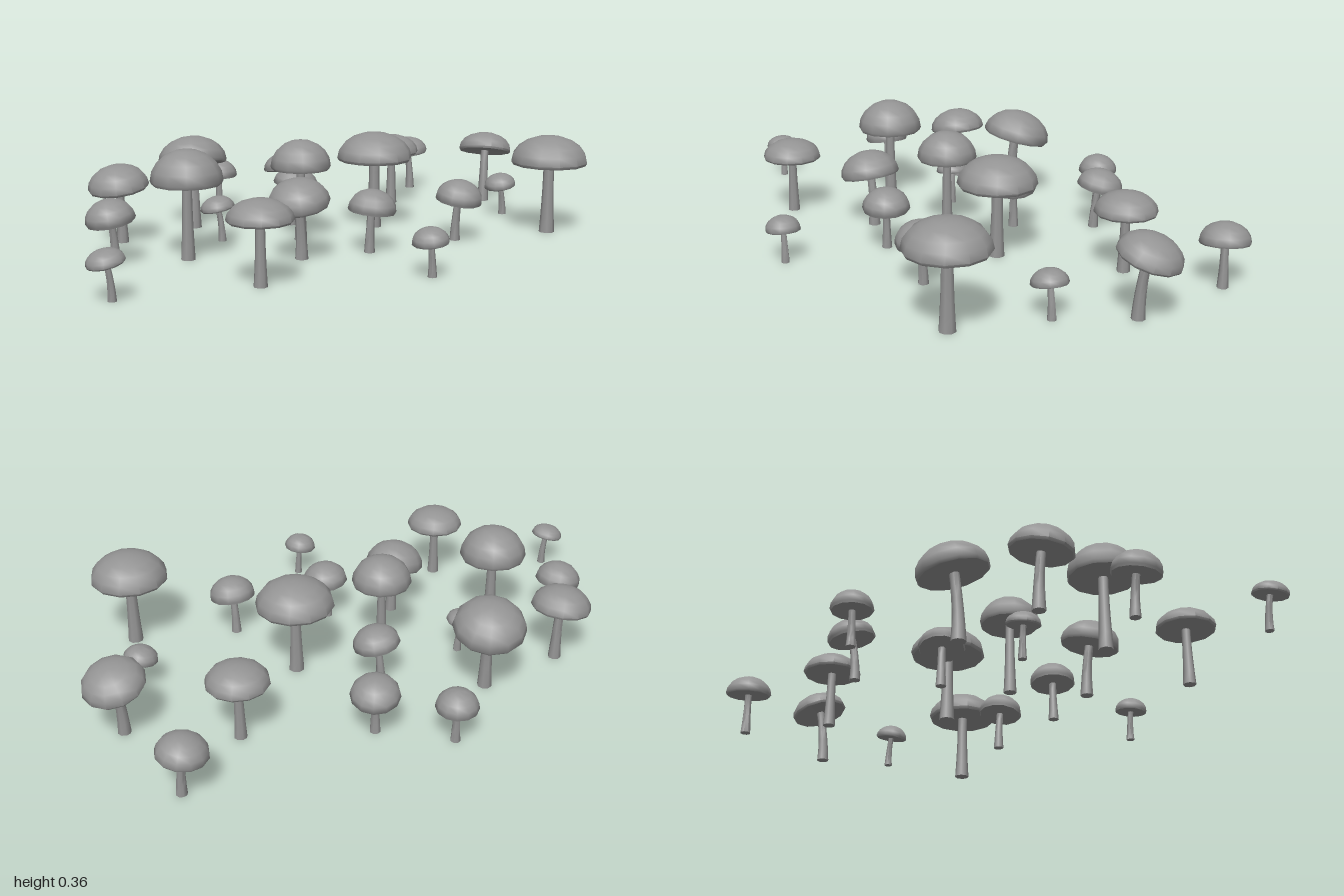
import * as THREE from 'three';
import { toCreasedNormals } from 'three/addons/utils/BufferGeometryUtils.js';

const material = new THREE.MeshStandardMaterial({ color: 0x949494 });

// Each mushroom: cap x, cap z, cap radius, top height, rim height, lean toward +x, lean toward +z
const MUSHROOMS = [
  [-0.14, -0.90, 0.102, 0.265, 0.19, -0.2, -0.25],
  [-0.497, -0.80, 0.081, 0.21, 0.14, -0.08, 0.12],
  [0.102, -0.747, 0.058, 0.155, 0.105, 0.0, 0.2],
  [0.402, -0.687, 0.132, 0.34, 0.24, 0.0, 0.0],
  [-0.30, -0.557, 0.102, 0.267, 0.195, 0.0, 0.0],
  [0.318, -0.35, 0.08, 0.21, 0.135, 0.15, -0.05],
  [-0.015, -0.247, 0.132, 0.34, 0.24, 0.0, 0.0],
  [-0.472, -0.175, 0.08, 0.21, 0.14, -0.2, -0.1],
  [-0.2, -0.04, 0.08, 0.21, 0.14, 0.12, -0.15],
  [-0.608, 0.037, 0.069, 0.187, 0.12, -0.03, 0.0],
  [0.273, -0.013, 0.08, 0.21, 0.135, 0.05, -0.08],
  [0.617, 0.037, 0.058, 0.157, 0.105, 0.0, 0.12],
  [-0.003, 0.078, 0.102, 0.345, 0.245, 0.0, 0.0],
  [-0.402, 0.268, 0.121, 0.325, 0.225, -0.25, -0.08],
  [-0.152, 0.318, 0.058, 0.155, 0.11, -0.08, 0.18],
  [0.217, 0.242, 0.102, 0.265, 0.175, 0.08, 0.2],
  [0.004, 0.52, 0.116, 0.357, 0.245, 0.0, 0.0],
  [-0.323, 0.598, 0.102, 0.267, 0.185, 0.05, 0.15],
  [0.402, 0.504, 0.102, 0.265, 0.195, 0.0, 0.0],
  [-0.085, 0.747, 0.08, 0.21, 0.135, 0.0, 0.18],
  [0.282, 0.942, 0.058, 0.155, 0.112, 0.0, 0.22],
];

// Domed cap with a slightly tucked rim and a shallow hollow underneath
function makeCap(radius, height) {
  const points = [
    new THREE.Vector2(0, radius * 0.03),
    new THREE.Vector2(radius * 0.95, 0),
  ];
  const steps = 5;
  for (let i = 0; i <= steps; i++) {
    const a = (i / steps) * Math.PI / 2;
    const r = i === steps ? 0 : radius * Math.cos(a);
    points.push(new THREE.Vector2(r, height * (0.1 + 0.9 * Math.sin(a))));
  }
  const geometry = toCreasedNormals(new THREE.LatheGeometry(points, 12), 0.9);
  const cap = new THREE.Mesh(geometry, material);
  cap.name = 'cap';
  return cap;
}

// Tapered stem with a flared foot that bends from the ground to the cap
function makeStem(radius, height, bendX, bendZ) {
  const geometry = new THREE.CylinderGeometry(radius, radius, height, 8, 5);
  geometry.translate(0, height / 2, 0);
  const p = geometry.attributes.position;
  for (let i = 0; i < p.count; i++) {
    const t = p.getY(i) / height;
    const taper = 0.8 + 0.38 * (1 - t) ** 2;
    const bend = t * t - 1;
    p.setXYZ(i, p.getX(i) * taper + bendX * bend, p.getY(i), p.getZ(i) * taper + bendZ * bend);
  }
  const stem = new THREE.Mesh(toCreasedNormals(geometry, 0.9), material);
  stem.name = 'stem';
  return stem;
}

function makeMushroom([x, z, radius, top, rim, leanX, leanZ]) {
  const mushroom = new THREE.Group();
  mushroom.name = 'mushroom';
  const height = top - rim;

  // Keep the middle of the dome over the given spot while it leans
  const capX = x - leanX * height * 0.3;
  const capZ = z - leanZ * height * 0.3;
  const cap = makeCap(radius, height);
  cap.position.set(capX, rim, capZ);
  cap.quaternion.setFromUnitVectors(
    new THREE.Vector3(0, 1, 0),
    new THREE.Vector3(leanX, 1, leanZ).normalize(),
  );

  const stem = makeStem(0.004 + radius * 0.14, rim + radius * 0.1, leanX * 0.07, leanZ * 0.07);
  stem.position.set(capX, 0, capZ);

  mushroom.add(cap, stem);
  return mushroom;
}

export function createModel() {
  const model = new THREE.Group();
  model.name = 'mushroomPatch';
  for (const entry of MUSHROOMS) model.add(makeMushroom(entry));
  return model;
}
